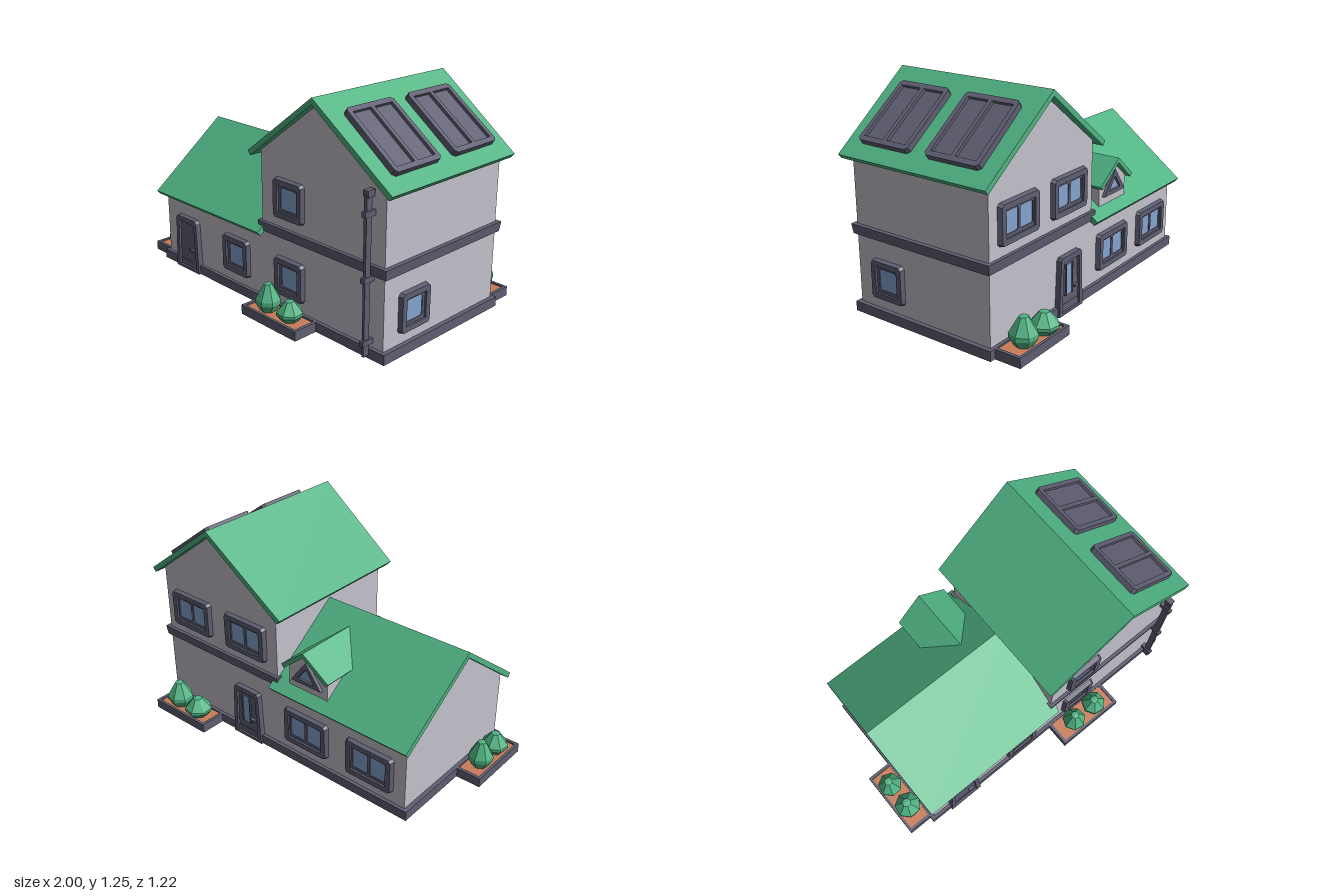
import * as THREE from 'three';

const mat = (name, color, flatShading = false) => {
  const m = new THREE.MeshStandardMaterial({ color, flatShading });
  m.name = name;
  return m;
};

export function createModel() {
  const wall = mat('wall plaster', 0xc3c0ca);
  const green = mat('green', 0x4fb282, true);
  const trim = mat('dark trim', 0x5e5e72, true);
  const glass = mat('glass', 0x84a3d0);
  const soil = mat('soil', 0xc87c58);

  const model = new THREE.Group();
  const add = (parent, name, geo, material, x = 0, y = 0, z = 0) => {
    const m = new THREE.Mesh(geo, material);
    m.name = name;
    m.position.set(x, y, z);
    parent.add(m);
    return m;
  };
  const group = (name, x = 0, y = 0, z = 0, ry = 0) => {
    const g = new THREE.Group();
    g.name = name;
    g.position.set(x, y, z);
    g.rotation.y = ry;
    model.add(g);
    return g;
  };
  const box = (w, h, d) => new THREE.BoxGeometry(w, h, d);
  const poly = pts => new THREE.Shape(pts.map(p => new THREE.Vector2(...p)));
  const rect = (cx, cy, w, h, c = 0) => {
    const a = w / 2, b = h / 2;
    const pts = c
      ? [[-a + c, -b], [a - c, -b], [a, -b + c], [a, b - c], [a - c, b], [-a + c, b], [-a, b - c], [-a, -b + c]]
      : [[-a, -b], [a, -b], [a, b], [-a, b]];
    return poly(pts.map(([x, y]) => [x + cx, y + cy]));
  };
  const extrude = (shape, depth, holes = []) => {
    shape.holes = holes;
    return new THREE.ExtrudeGeometry(shape, { depth, bevelEnabled: false });
  };
  // Moves every vertex by a rule
  const warp = (geo, rule) => {
    const p = geo.attributes.position, v = new THREE.Vector3();
    for (let i = 0; i < p.count; i++) {
      rule(v.fromBufferAttribute(p, i));
      p.setXYZ(i, v.x, v.y, v.z);
    }
    geo.computeVertexNormals();
    return geo;
  };

  // Gabled wall block, centred, with its ridge along z
  const gable = (half, base, eave, ridge, length) =>
    extrude(poly([[-half, base], [half, base], [half, eave], [0, ridge], [-half, eave]]), length)
      .translate(0, 0, -length / 2);
  // Folded roof, slightly longer at the ridge than at the eaves
  const roof = (half, eave, ridge, length, t = 0.034, taper = 0.04) => {
    const g = extrude(poly([[half, eave], [0, ridge], [-half, eave], [-half + t * 0.6, eave - t * 0.7],
      [0, ridge - t], [half - t * 0.6, eave - t * 0.7]]), length).translate(0, 0, -length / 2);
    return warp(g, v => { v.z *= 1 - taper * Math.abs(v.x) / half; });
  };

  // Plinth, walls and roofs
  add(model, 'plinth', box(1.81, 0.055, 0.92), trim, 0.05, 0.0275, 0);
  add(model, 'wingWalls', gable(0.44, 0.05, 0.45, 0.785, 0.9).rotateY(Math.PI / 2), wall, -0.38);
  add(model, 'towerWalls', gable(0.44, 0.05, 0.9, 1.223, 0.88), wall, 0.49);
  add(model, 'wingRoof', roof(0.495, 0.445, 0.815, 0.97).rotateY(Math.PI / 2), green, -0.395);
  add(model, 'towerRoof', roof(0.505, 0.882, 1.255, 0.994), green, 0.49);
  // Floor band, flared towards its top
  add(model, 'floorBand', warp(box(0.92, 0.055, 0.92), v => {
    if (v.y < 0) { v.x *= 0.985; v.z *= 0.985; }
  }), trim, 0.495, 0.472, 0);

  // Windows, built facing +z
  const addWindow = (name, panes, x, y, z, ry) => {
    const g = group(name, x, y, z, ry);
    const w = panes === 1 ? 0.22 : 0.31, h = 0.22;
    const frame = extrude(rect(0, 0, w, h, 0.014), 0.026, [rect(0, 0, w - 0.065, h - 0.065)]);
    add(g, 'windowFrame', warp(frame, v => { if (v.z > 0.01) { v.x *= 0.95; v.y *= 0.95; } }), trim);
    const pw = panes === 1 ? 0.118 : 0.1, holes = [];
    for (let i = 0; i < panes; i++) holes.push(rect((i - (panes - 1) / 2) * 0.118, 0, pw, 0.118, 0.008));
    add(g, 'windowSash', extrude(rect(0, 0, w - 0.06, h - 0.06), 0.012, holes), trim);
    add(g, 'windowGlass', box(w - 0.08, 0.13, 0.006), glass, 0, 0, 0.004);
  };
  const back = Math.PI;
  for (const [x, y] of [[-0.17, 0.225], [0.27, 0.225], [0.27, 0.665]]) addWindow('frontWindow', 1, x, y, 0.44, 0);
  addWindow('sideWindow', 1, 0.93, 0.225, 0.225, Math.PI / 2);
  for (const [x, y] of [[-0.6, 0.225], [-0.16, 0.225], [0.28, 0.665], [0.71, 0.665]])
    addWindow('backWindow', 2, x, y, -0.44, back);

  // Doors, built facing +z
  const addDoor = (name, x, z, ry, glazed) => {
    const g = group(name, x, 0, z, ry);
    const frame = poly([[-0.11, 0], [0.11, 0], [0.095, 0.315], [0.083, 0.33], [-0.083, 0.33], [-0.095, 0.315]]);
    add(g, 'doorFrame', extrude(frame, 0.032, [poly([[-0.082, 0.015], [0.082, 0.015], [0.07, 0.3], [-0.07, 0.3]])]), trim);
    add(g, 'doorLeaf', box(0.16, 0.3, 0.024), trim, 0, 0.155, 0.006);
    add(g, 'doorHandle', box(0.036, 0.014, 0.02), trim, 0.045, 0.135, 0.026);
    if (glazed) {
      add(g, 'doorLight', box(0.05, 0.17, 0.006), glass, -0.01, 0.19, 0.018);
      for (const s of [-1, 1]) add(g, 'doorLightTrim', box(0.008, 0.18, 0.012), trim, -0.01 + s * 0.029, 0.19, 0.02);
    }
  };
  addDoor('frontDoor', -0.612, 0.44, 0, false);
  addDoor('backDoor', 0.28, -0.44, back, true);

  // Dormer on the back slope of the wing
  const dormer = group('dormer', -0.17, 0, -0.435, back);
  add(dormer, 'dormerWalls', extrude(poly([[-0.135, 0.48], [0.135, 0.48], [0.135, 0.615], [0, 0.725], [-0.135, 0.615]]), 0.36)
    .translate(0, 0, -0.36), wall);
  add(dormer, 'dormerRoof', roof(0.165, 0.617, 0.747, 0.4, 0.028, 0.05), green, 0, 0, -0.16);
  const tri = s => poly([[-0.105 * s, 0.59 - 0.05 * s], [0.105 * s, 0.59 - 0.05 * s], [0, 0.59 + 0.09 * s]]);
  add(dormer, 'dormerWindowFrame', extrude(tri(1), 0.02, [tri(0.55)]), trim);
  add(dormer, 'dormerGlass', extrude(tri(0.65), 0.006), glass);

  // Solar panels lying on the right-hand slope
  for (const z of [0.222, -0.222]) {
    const g = group('solarPanel', 0.755, 1.06, z);
    g.rotation.z = -Math.atan2(0.373, 0.505);
    const lay = geo => geo.rotateX(-Math.PI / 2);
    const holes = [-1, 1].map(s => rect(0, s * 0.076, 0.35, 0.128));
    const frame = extrude(rect(0, 0, 0.41, 0.334, 0.016), 0.033, holes);
    add(g, 'solarFrame', lay(frame), trim);
    add(g, 'solarCells', box(0.37, 0.014, 0.3), trim, 0, 0.009, 0);
  }

  // Drainpipe with hopper and clamps
  const pipe = group('drainpipe', 0.85, 0, 0.48);
  add(pipe, 'pipe', warp(box(0.02, 0.84, 0.036), v => { if (v.y < 0) v.x *= 0.6; }), trim, 0, 0.44, 0);
  add(pipe, 'hopper', warp(box(0.034, 0.036, 0.05), v => { if (v.y < 0) v.z *= 0.8; }), trim, 0, 0.865, -0.006);
  for (const y of [0.095, 0.43, 0.765]) add(pipe, 'pipeClamp', box(0.026, 0.03, 0.07), trim, 0, y, -0.005);

  // Planters with two shrubs each, built facing +z
  const addShrub = (parent, x, z, h, r) => {
    const profile = [[0, 0], [0.6, 0], [0.96, 0.3], [0.97, 0.45], [0.32, 1], [0, 1.02]]
      .map(([a, b]) => new THREE.Vector2(a * r, b * h));
    add(parent, 'shrub', new THREE.LatheGeometry(profile, 7, 0.3), green, x, 0.045, z);
  };
  const addPlanter = (x, z, ry, w, d, shrubs) => {
    const g = group('planter', x, 0, z, ry);
    const slant = v => { if (v.z > 0) v.x *= 0.96; };
    for (const s of [-1, 1]) add(g, 'planterSide', box(0.018, 0.055, d), trim, s * (w / 2 - 0.012), 0.0275, d / 2);
    add(g, 'planterFront', box(w - 0.008, 0.055, 0.016), trim, 0, 0.0275, d - 0.008);
    add(g, 'planterSoil', warp(box(w - 0.03, 0.006, d - 0.01), slant), soil, 0, 0.043, d / 2 - 0.003);
    add(g, 'planterFloor', box(w - 0.03, 0.04, d - 0.01), trim, 0, 0.02, d / 2 - 0.003);
    for (const s of shrubs) addShrub(g, ...s);
  };
  addPlanter(0.27, 0.45, 0, 0.43, 0.157, [[-0.08, 0.08, 0.155, 0.072], [0.085, 0.075, 0.11, 0.075]]);
  addPlanter(0.715, -0.45, back, 0.42, 0.163, [[-0.075, 0.085, 0.155, 0.08], [0.09, 0.09, 0.115, 0.084]]);
  addPlanter(-0.845, 0.22, -Math.PI / 2, 0.42, 0.155, [[-0.085, 0.08, 0.155, 0.073], [0.075, 0.072, 0.12, 0.08]]);

  return model;
}
